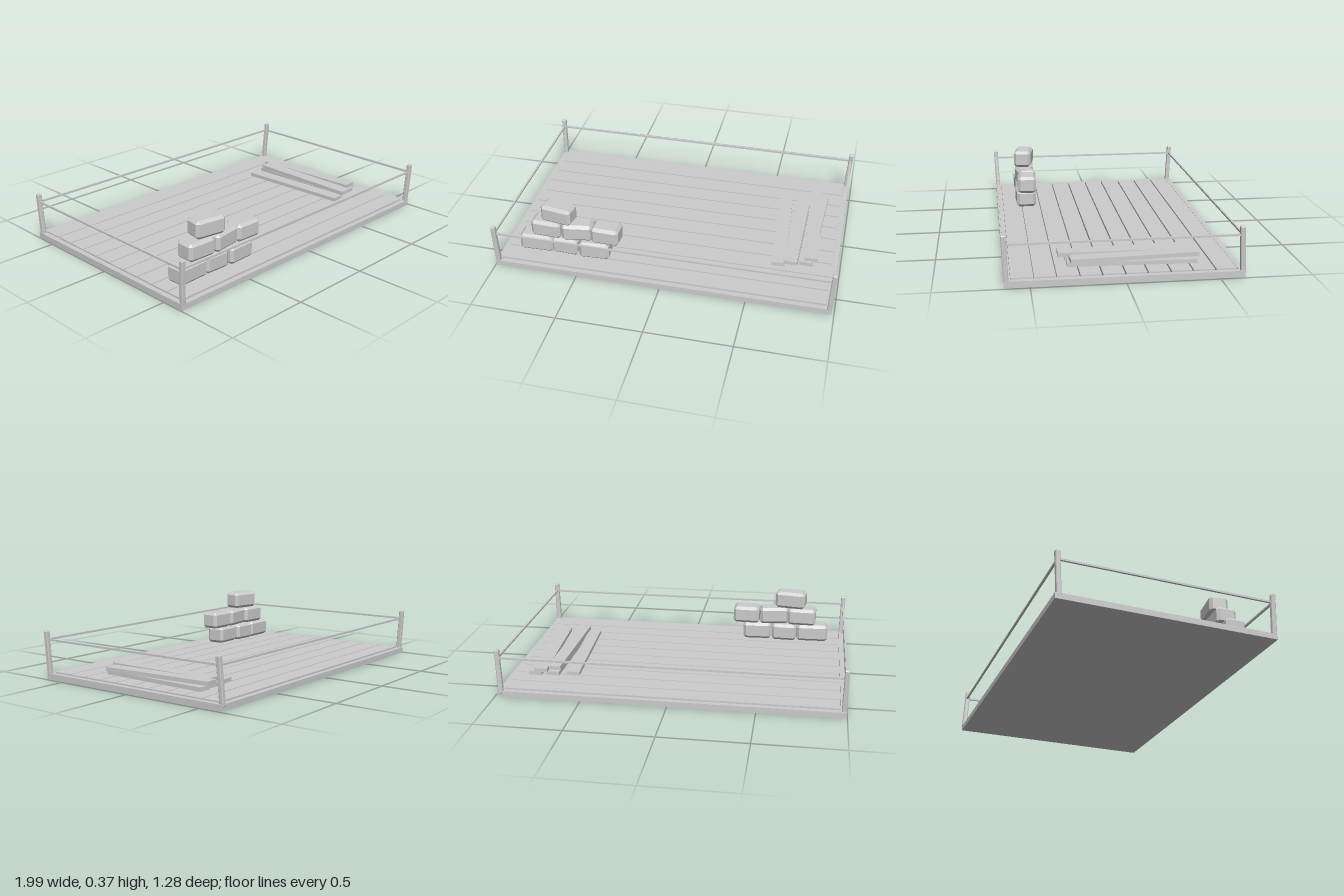
import * as THREE from 'three';
import { ConvexGeometry } from 'three/addons/geometries/ConvexGeometry.js';

const grey = new THREE.MeshStandardMaterial({ color: 0xcccccc });
grey.name = 'plain grey';

// Box with every edge cut at 45 degrees
function chamferBox(w, h, d, c) {
  const points = [];
  for (const x of [-1, 1]) for (const y of [-1, 1]) for (const z of [-1, 1]) {
    points.push(
      new THREE.Vector3(x * w / 2, y * (h / 2 - c), z * (d / 2 - c)),
      new THREE.Vector3(x * (w / 2 - c), y * h / 2, z * (d / 2 - c)),
      new THREE.Vector3(x * (w / 2 - c), y * (h / 2 - c), z * d / 2));
  }
  return new ConvexGeometry(points);
}

export function createModel() {
  const model = new THREE.Group();
  model.name = 'raftPlatform';

  function add(name, geometry, x, y, z, parent = model) {
    const mesh = new THREE.Mesh(geometry, grey);
    mesh.name = name;
    mesh.position.set(x, y, z);
    parent.add(mesh);
    return mesh;
  }
  // Square bar running between two points
  function bar(name, a, b, geometryFor, parent) {
    const from = new THREE.Vector3(...a), to = new THREE.Vector3(...b);
    const mid = from.clone().add(to).multiplyScalar(0.5);
    const mesh = add(name, geometryFor(from.distanceTo(to)), mid.x, mid.y, mid.z, parent);
    mesh.quaternion.setFromUnitVectors(new THREE.Vector3(0, 1, 0), to.sub(from).normalize());
    return mesh;
  }
  function group(name) {
    const g = new THREE.Group();
    g.name = name;
    model.add(g);
    return g;
  }

  // Base panel and raised rim
  const cx = -0.005;
  const deck = group('deck');
  add('basePanel', new THREE.BoxGeometry(1.98, 0.02, 1.27), cx, 0.01, 0, deck);
  for (const s of [-1, 1]) {
    add('longRim', new THREE.BoxGeometry(1.98, 0.034, 0.03), cx, 0.017, s * 0.62, deck);
    add('shortRim', new THREE.BoxGeometry(0.03, 0.034, 1.21), cx + s * 0.975, 0.017, 0, deck);
  }

  // Ten floor boards with narrow gaps
  for (let i = 0; i < 10; i++) {
    const gap = i % 2 ? 0.006 : 0.009;
    add('floorBoard', new THREE.BoxGeometry(1.915, 0.022, 0.1205 - gap), cx, 0.03, -0.5423 + i * 0.1205, deck);
  }

  // Corner posts, each leaning its own way: bottom x, z then top x, z
  const fence = group('fence');
  const posts = [
    [-0.98, 0.622, -0.985, 0.632],
    [0.972, 0.622, 0.982, 0.632],
    [-0.982, -0.612, -0.985, -0.626],
    [0.966, -0.626, 0.98, -0.612],
  ];
  for (const [x0, z0, x1, z1] of posts) {
    bar('cornerPost', [x0, 0.02, z0], [x1, 0.282, z1], (l) => chamferBox(0.027, l, 0.027, 0.004), fence);
  }

  // Thin rails joining the posts
  const rails = [
    [-0.985, 0.63, 0.98, 0.63], [-0.985, -0.623, 0.977, -0.618],
    [-0.985, 0.63, -0.985, -0.623], [0.98, 0.63, 0.977, -0.618],
  ];
  for (const [x0, z0, x1, z1] of rails) {
    bar('rail', [x0, 0.232, z0], [x1, 0.232, z1], (l) => new THREE.BoxGeometry(0.011, l, 0.011), fence);
  }

  // Pile of bevelled blocks: x, y, z, width, depth, turn
  const pile = group('blockPile');
  const blocks = [
    [-0.787, 0.098, 0.45, 0.2, 0.12, 0.03],
    [-0.608, 0.098, 0.445, 0.158, 0.125, -0.04],
    [-0.43, 0.098, 0.452, 0.18, 0.122, 0.04],
    [-0.718, 0.205, 0.446, 0.18, 0.12, -0.04],
    [-0.535, 0.205, 0.447, 0.185, 0.11, 0.15],
    [-0.36, 0.205, 0.445, 0.167, 0.117, -0.03],
    [-0.645, 0.313, 0.45, 0.19, 0.112, -0.16],
  ];
  for (const [x, y, z, w, d, turn] of blocks) {
    add('block', chamferBox(w, 0.106, d, 0.017), x, y, z, pile).rotation.y = turn;
  }

  // Two layers of loose planks: height, back x, back z, front x, front z
  const stack = group('plankStack');
  const planks = [
    [0.058, 0.605, -0.38, 0.642, 0.33],
    [0.058, 0.725, -0.395, 0.715, 0.3],
    [0.058, 0.83, -0.405, 0.8, 0.295],
    [0.084, 0.722, -0.375, 0.712, 0.337],
    [0.084, 0.79, -0.42, 0.828, 0.28],
  ];
  for (const [y, x0, z0, x1, z1] of planks) {
    const length = Math.hypot(x1 - x0, z1 - z0);
    add('loosePlank', new THREE.BoxGeometry(0.078, 0.023, length), (x0 + x1) / 2, y, (z0 + z1) / 2, stack)
      .rotation.y = Math.atan2(x1 - x0, z1 - z0);
  }
  return model;
}
